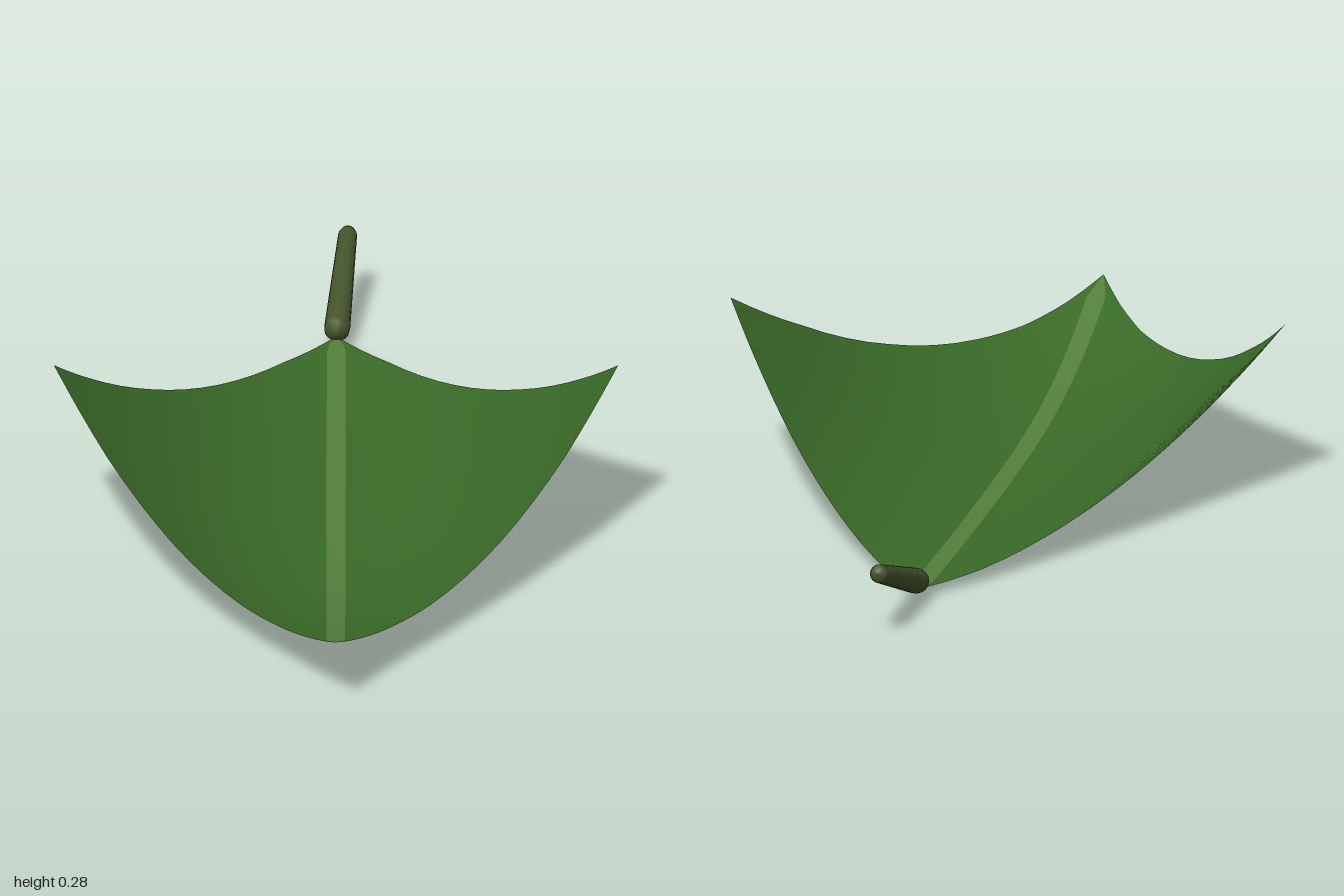
import * as THREE from 'three';

// Outline of the blade: [z, half width], from stem to tip
const OUTLINE = [
  [-0.735, 0], [-0.6, 0.088], [-0.4, 0.2], [-0.2, 0.312], [0, 0.42], [0.11, 0.478],
  [0.3, 0.388], [0.5, 0.278], [0.7, 0.16], [0.8, 0.1], [0.9, 0.047], [0.995, 0],
];
const Z0 = OUTLINE[0][0], Z1 = OUTLINE[OUTLINE.length - 1][0];
const RIB = 0.016;

function halfWidth(z) {
  const i = Math.max(1, OUTLINE.findIndex(p => p[0] >= z - 1e-6));
  const [a, wa] = OUTLINE[i - 1], [b, wb] = OUTLINE[i];
  return THREE.MathUtils.lerp(wa, wb, (z - a) / (b - a));
}

// Height of the centre line: gentle rise to the stem, stronger curl to the tip
function spine(z) {
  const d = z - 0.1;
  return 0.003 + (d > 0 ? 0.117 * (d / 0.895) ** 2.6 : 0.017 * (d / 0.835) ** 2);
}

const height = (x, z) => spine(z) + 1.245 * x * x;

// Sheet between two edges, each given as x for a half width w
function sheet(name, inner, outer, columns, color) {
  const rowsPer = 4, rows = (OUTLINE.length - 1) * rowsPer;
  const geo = new THREE.PlaneGeometry(1, 1, columns, rows).rotateX(-Math.PI / 2);
  const pos = geo.attributes.position, normal = geo.attributes.normal;
  const n = new THREE.Vector3();
  for (let i = 0; i < pos.count; i++) {
    // rows follow the outline's own points so that its corners stay sharp
    const row = Math.round((pos.getZ(i) + 0.5) * rows);
    const k = Math.min(Math.floor(row / rowsPer), OUTLINE.length - 2);
    const z = THREE.MathUtils.lerp(OUTLINE[k][0], OUTLINE[k + 1][0], row / rowsPer - k);
    const w = row === 0 || row === rows ? 0 : halfWidth(z);
    const x = THREE.MathUtils.lerp(inner(w), outer(w), pos.getX(i) + 0.5);
    pos.setXYZ(i, x, height(x, z), z);
    const slope = (spine(z + 0.01) - spine(z - 0.01)) / 0.02;
    n.set(-2.49 * x, 1, -slope).normalize();
    normal.setXYZ(i, n.x, n.y, n.z);
  }
  const mesh = new THREE.Mesh(geo, new THREE.MeshStandardMaterial({ color, side: THREE.DoubleSide }));
  mesh.name = name;
  return mesh;
}

export function createModel() {
  const group = new THREE.Group();
  group.name = 'leaf';

  // Blade halves either side of a paler midrib
  const rib = w => Math.min(RIB, w * 0.5);
  group.add(sheet('leftBlade', rib, w => w, 14, 0x3a6b28));
  group.add(sheet('rightBlade', w => -w, w => -rib(w), 14, 0x3a6b28));
  group.add(sheet('midrib', w => -rib(w), rib, 2, 0x55803c));

  // Tapered stem with rounded ends
  const from = new THREE.Vector3(0, 0.029, -0.716), to = new THREE.Vector3(0.02, 0.115, -0.995);
  const dir = to.clone().sub(from), len = dir.length();
  const profile = [
    [0, 0], [0.014, 0.003], [0.021, 0.012], [0.022, 0.025],
    [0.016, len - 0.014], [0.012, len - 0.004], [0, len],
  ].map(p => new THREE.Vector2(...p));
  const stem = new THREE.Mesh(
    new THREE.LatheGeometry(profile, 16),
    new THREE.MeshStandardMaterial({ color: 0x45542c }),
  );
  stem.name = 'stem';
  stem.position.copy(from);
  stem.quaternion.setFromUnitVectors(new THREE.Vector3(0, 1, 0), dir.normalize());
  group.add(stem);

  return group;
}
